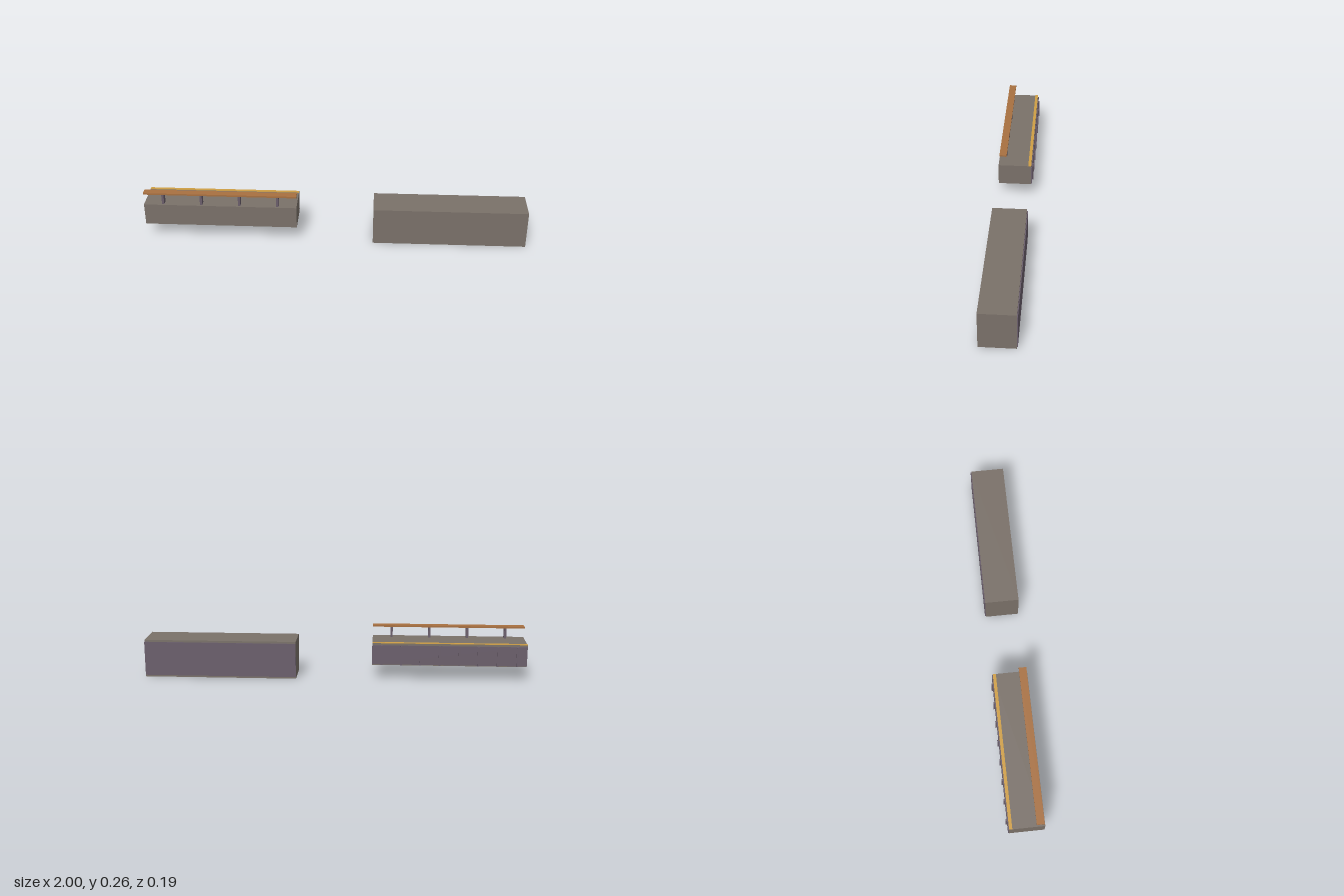
import * as THREE from 'three';

const material = (name, color) => {
  const m = new THREE.MeshStandardMaterial({ color });
  m.name = name;
  return m;
};

export function createModel() {
  const stone = material('warm grey stone', 0x7a7169);
  const slate = material('purple grey slate', 0x6a5e6b);
  const wood = material('brown wood', 0xa87040);
  const gold = material('golden edge', 0xcf9f45);

  const model = new THREE.Group();
  model.name = 'platforms';

  // Box given by its lower and upper limits on each axis
  const box = (parent, name, mat, [x0, x1], [y0, y1], [z0, z1]) => {
    const mesh = new THREE.Mesh(new THREE.BoxGeometry(x1 - x0, y1 - y0, z1 - z0), mat);
    mesh.position.set((x0 + x1) / 2, (y0 + y1) / 2, (z0 + z1) / 2);
    mesh.name = name;
    parent.add(mesh);
  };
  const group = (name) => {
    const g = new THREE.Group();
    g.name = name;
    model.add(g);
    return g;
  };
  const depth = [-0.083, 0.095];

  // Plain tall block with a slate facing on its back
  const plain = group('plainPlatform');
  box(plain, 'plainBlock', stone, [0.2, 1], [0, 0.2], depth);
  box(plain, 'plainBackPanel', slate, [0.2, 1], [0.01, 0.19], [-0.088, -0.083]);

  // Raised block with facing, golden edge strip and railing
  const railed = group('railedPlatform');
  box(railed, 'railedBlock', stone, [-1, -0.2], [0.083, 0.2], depth);
  box(railed, 'railedBackPanel', slate, [-1, -0.2], [0.088, 0.19], [-0.088, -0.083]);
  box(railed, 'edgeStrip', gold, [-1, -0.2], [0.2, 0.203], [-0.083, -0.067]);

  // Vertical ribs on the back facing
  for (let i = 0; i < 8; i++) {
    const x = -0.95 + i * 0.1;
    box(railed, 'backRib', slate, [x - 0.005, x + 0.005], [0.086, 0.188], [-0.095, -0.088]);
  }

  // Railing posts and handrail
  for (let i = 0; i < 4; i++) {
    const x = -0.9 + i * 0.2;
    box(railed, 'railPost', slate, [x - 0.006, x + 0.006], [0.2, 0.256], [0.055, 0.086]);
  }
  box(railed, 'handrail', wood, [-1, -0.2], [0.256, 0.265], [0.051, 0.09]);

  return model;
}
